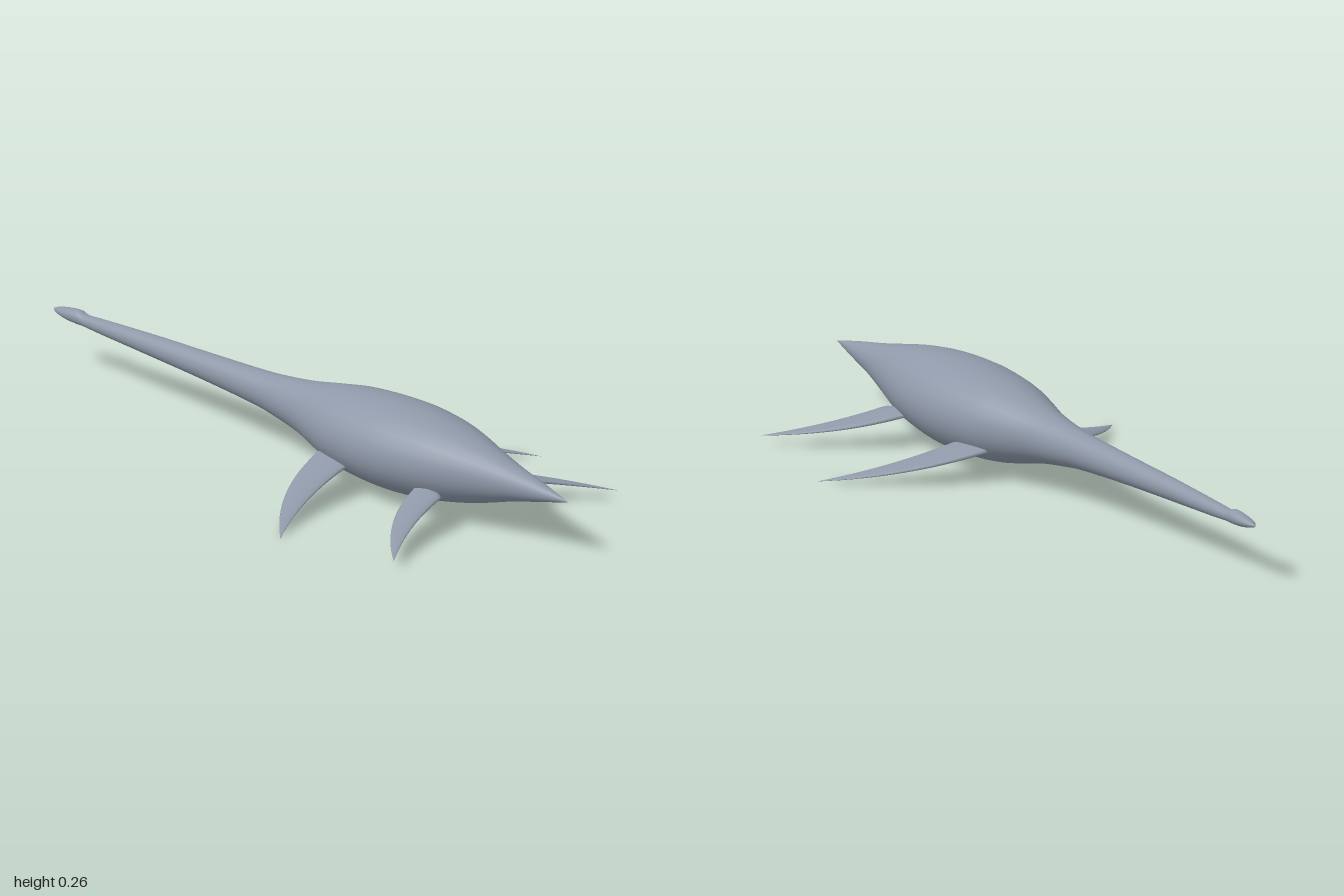
import * as THREE from 'three';

const skin = new THREE.MeshStandardMaterial({ color: 0x8e98a8 });
skin.name = 'slate grey skin';

// Smooth skin over closed rings; ringPoint(i, angle) gives each vertex.
function loft(name, rings, sides, ringPoint) {
  const pos = [], index = [];
  for (let i = 0; i < rings; i++) {
    for (let j = 0; j < sides; j++) {
      const p = ringPoint(i, (j / sides) * Math.PI * 2);
      pos.push(p.x, p.y, p.z);
      if (i === rings - 1) continue;
      const a = i * sides + j, b = i * sides + (j + 1) % sides;
      index.push(a, a + sides, b, b, a + sides, b + sides);
    }
  }
  const geo = new THREE.BufferGeometry();
  geo.setAttribute('position', new THREE.Float32BufferAttribute(pos, 3));
  geo.setIndex(index);
  geo.computeVertexNormals();
  const mesh = new THREE.Mesh(geo, skin);
  mesh.name = name;
  return mesh;
}

// Tail tip to snout: z, half width, top y, bottom y
const PROFILE = [
  [1, 0, 0.157, 0.155], [0.9, 0.024, 0.18, 0.13], [0.8, 0.045, 0.2, 0.105],
  [0.7, 0.073, 0.223, 0.075], [0.6, 0.106, 0.245, 0.05], [0.5, 0.13, 0.259, 0.034],
  [0.36, 0.145, 0.265, 0.024], [0.2, 0.131, 0.256, 0.032], [0.1, 0.104, 0.241, 0.05],
  [0, 0.073, 0.222, 0.075], [-0.1, 0.055, 0.209, 0.092], [-0.2, 0.045, 0.201, 0.105],
  [-0.4, 0.036, 0.193, 0.118], [-0.6, 0.029, 0.186, 0.127], [-0.8, 0.021, 0.176, 0.135],
  [-0.87, 0.018, 0.172, 0.139], [-0.9, 0.02, 0.178, 0.139], [-0.94, 0.019, 0.174, 0.141],
  [-0.98, 0.012, 0.166, 0.148], [-1, 0, 0.157, 0.155],
];

function makeBody() {
  const top = new THREE.CatmullRomCurve3(PROFILE.map(([z, w, t]) => new THREE.Vector3(w, t, z)), false, 'catmullrom');
  const bottom = new THREE.CatmullRomCurve3(PROFILE.map(([z, w, , b]) => new THREE.Vector3(w, b, z)), false, 'catmullrom');
  const rings = (PROFILE.length - 1) * 4 + 1;
  return loft('body', rings, 28, (i, angle) => {
    const t = top.getPoint(i / (rings - 1)), b = bottom.getPoint(i / (rings - 1));
    return new THREE.Vector3(
      Math.max(t.x, 0) * Math.cos(angle),
      (t.y + b.y) / 2 + (t.y - b.y) / 2 * Math.sin(angle),
      t.z);
  });
}

// Swept flipper between a leading and a trailing edge, with a rounded root.
function makeFlipper(name, side, lead, trail, thickness) {
  const curve = (pts) => new THREE.QuadraticBezierCurve3(...pts.map((p) => new THREE.Vector3(...p)));
  const front = curve(lead), back = curve(trail);
  const rings = 22, cap = 5;
  return loft(name, rings, 16, (i, angle) => {
    const s = Math.max(0, (i - cap) / (rings - 1 - cap));
    const c = Math.min(1, i / cap);
    const round = Math.sqrt(1 - (1 - c) ** 2);
    const f = front.getPoint(s), b = back.getPoint(s);
    const p = f.clone().add(b).multiplyScalar(0.5);
    p.addScaledVector(b.sub(f), 0.5 * round * Math.cos(angle));
    p.x -= 0.025 * (1 - c);
    p.y += side * thickness * (1 - s) ** 0.8 * round * Math.sin(angle);
    p.x *= side;
    return p;
  });
}

export function createModel() {
  const model = new THREE.Group();
  model.name = 'longNeckedSwimmer';
  model.add(makeBody());
  for (const [label, side] of [['left', 1], ['right', -1]]) {
    // Flippers nearer the head
    model.add(makeFlipper(label + 'ForeFlipper', side,
      [[0.1, 0.087, 0.135], [0.31, 0.04, 0.19], [0.465, 0.003, 0.39]],
      [[0.115, 0.083, 0.265], [0.3, 0.041, 0.285], [0.465, 0.003, 0.39]], 0.013));
    // Flippers nearer the tail
    model.add(makeFlipper(label + 'HindFlipper', side,
      [[0.1, 0.09, 0.515], [0.27, 0.053, 0.57], [0.4, 0.024, 0.76]],
      [[0.11, 0.087, 0.62], [0.26, 0.055, 0.655], [0.4, 0.024, 0.76]], 0.012));
  }
  return model;
}
